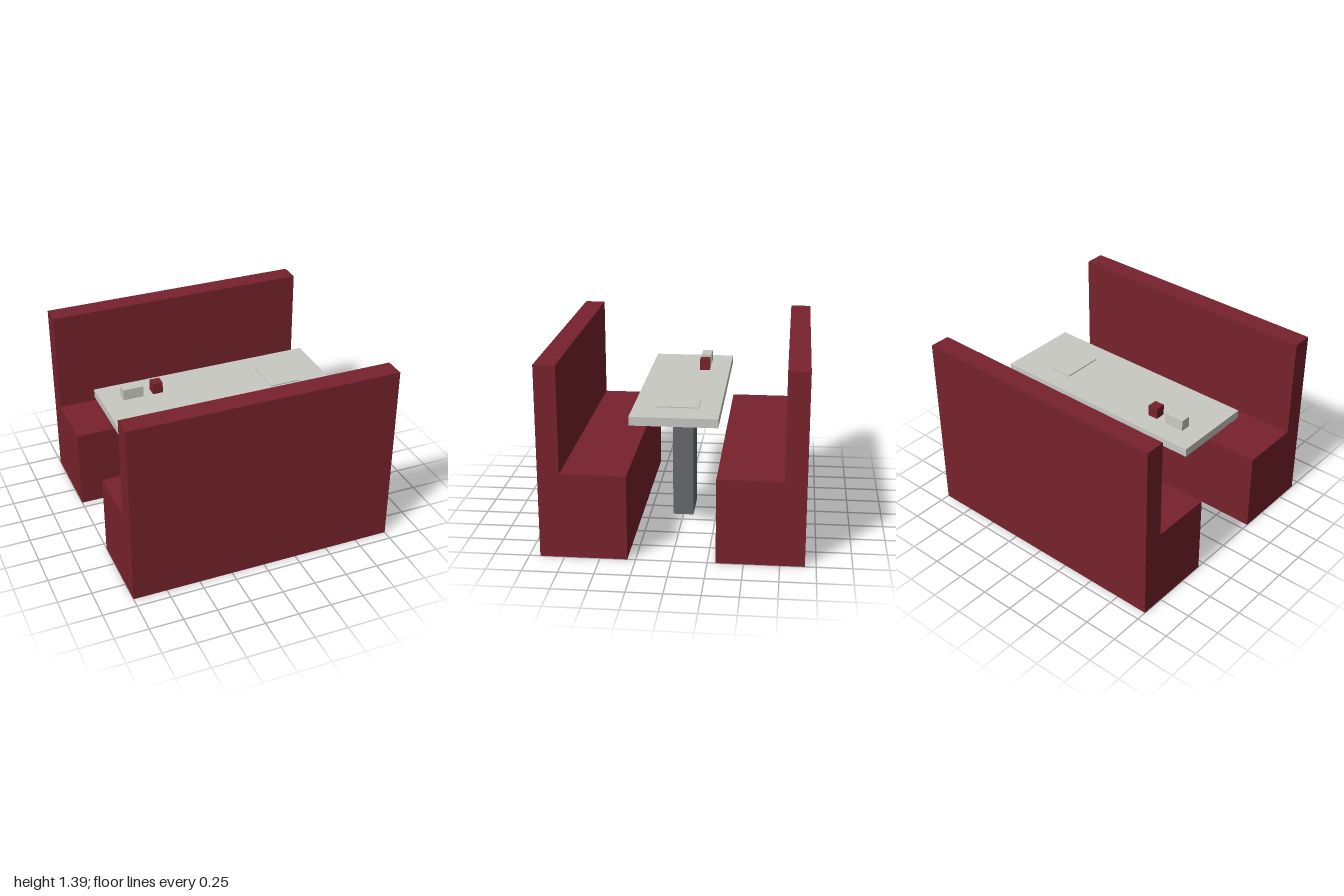
import * as THREE from 'three';

const material = (name, color) => {
  const m = new THREE.MeshStandardMaterial({ color });
  m.name = name;
  return m;
};

export function createModel() {
  const group = new THREE.Group();
  const red = material('red upholstery', 0x78222c);
  const white = material('off-white laminate', 0xc9c9c4);
  const grey = material('grey metal', 0x676a6f);

  // Box given by its lower and upper limits on each axis
  const box = (name, mat, [x0, x1], [y0, y1], [z0, z1]) => {
    const mesh = new THREE.Mesh(new THREE.BoxGeometry(x1 - x0, y1 - y0, z1 - z0), mat);
    mesh.position.set((x0 + x1) / 2, (y0 + y1) / 2, (z0 + z1) / 2);
    mesh.name = name;
    group.add(mesh);
  };

  // L-shaped bench profile, extruded along the booth's width
  const profile = new THREE.Shape([
    [0.308, 0], [0.923, 0], [0.923, 1.387], [0.77, 1.387], [0.77, 0.617], [0.308, 0.617],
  ].map(([x, y]) => new THREE.Vector2(x, y)));
  const benchGeometry = new THREE.ExtrudeGeometry(profile, { depth: 2, bevelEnabled: false });
  benchGeometry.translate(0, 0, -1);

  // Two benches facing each other across the table
  for (const [name, turn] of [['frontBench', -1], ['backBench', 1]]) {
    const bench = new THREE.Mesh(benchGeometry, red);
    bench.rotation.y = turn * Math.PI / 2;
    bench.name = name;
    group.add(bench);
  }

  // Table
  box('tableLeg', grey, [-0.154, 0.154], [0, 0.931], [-0.077, 0.077]);
  box('tableTop', white, [-0.846, 0.846], [0.931, 0.994], [-0.308, 0.308]);

  // Items on the table
  box('placeMat', white, [0.385, 0.615], [0.924, 1.002], [-0.154, 0.154]);
  box('napkinHolder', white, [-0.692, -0.538], [0.99, 1.077], [-0.154, -0.077]);
  box('sauceBottle', red, [-0.465, -0.388], [0.99, 1.077], [-0.154, -0.077]);

  return group;
}
